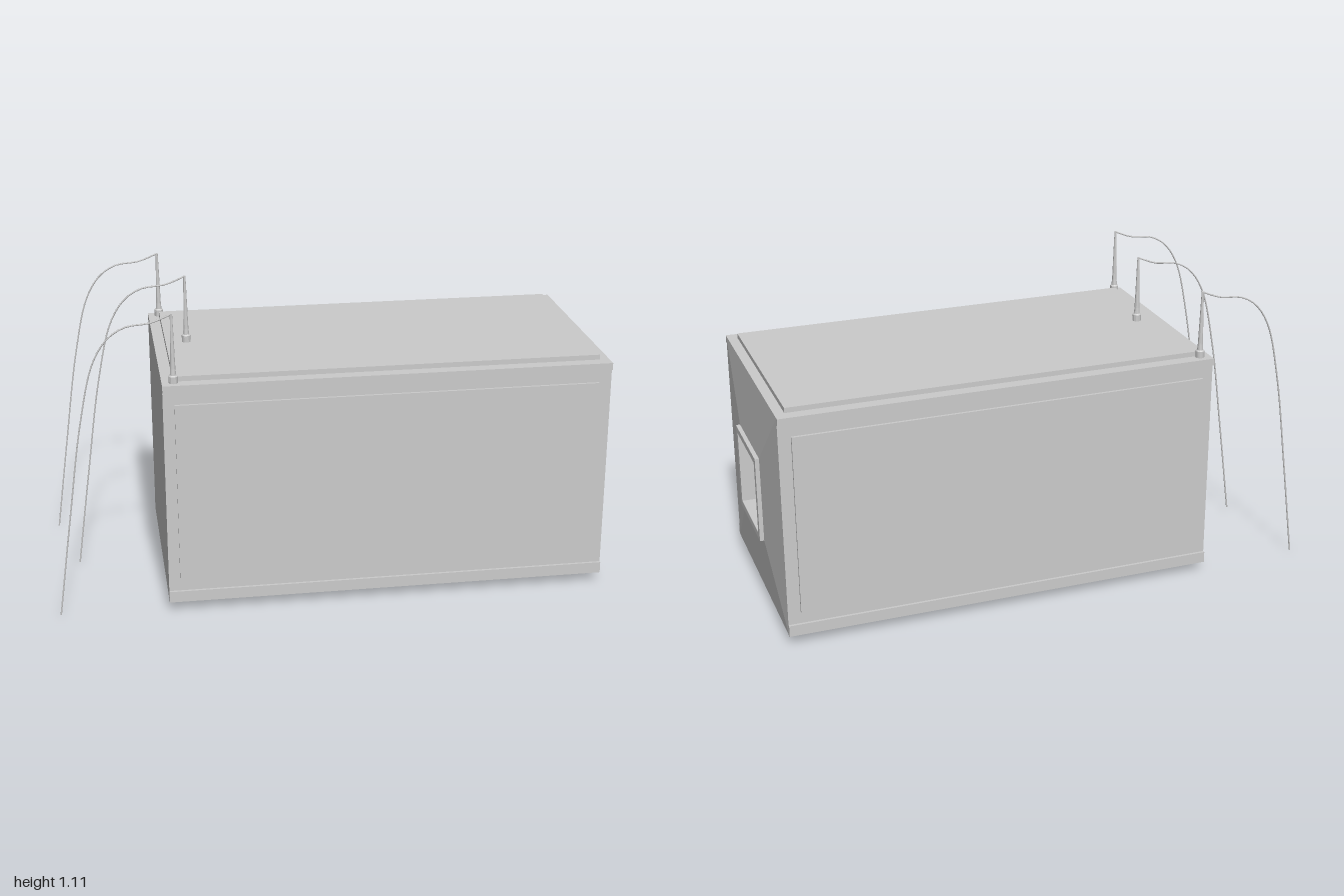
import * as THREE from 'three';

const MID_Y = 0.4425;

export function createModel() {
  const model = new THREE.Group();
  const grey = new THREE.MeshStandardMaterial({ color: 0xcccccc });
  const flat = new THREE.MeshStandardMaterial({ color: 0xcccccc, flatShading: true });

  const add = (name, geometry, material = grey, parent = model) => {
    const mesh = new THREE.Mesh(geometry, material);
    mesh.name = name;
    parent.add(mesh);
    return mesh;
  };
  // Box given by its limits on each axis
  const box = (name, x0, x1, y0, y1, z0, z1) =>
    add(name, new THREE.BoxGeometry(x1 - x0, y1 - y0, z1 - z0))
      .position.set((x0 + x1) / 2, (y0 + y1) / 2, (z0 + z1) / 2);
  // Square loft along x from [half width, x] pairs
  const squareLoft = (name, profile) => {
    const points = profile.map(([half, x]) => new THREE.Vector2(half * Math.SQRT2, x));
    const geometry = new THREE.LatheGeometry(points, 4, Math.PI / 4)
      .rotateZ(-Math.PI / 2).toNonIndexed();
    geometry.computeVertexNormals();
    add(name, geometry, flat).position.y = MID_Y;
  };

  // Body with a shallow pyramid end sloping up to the recessed window
  squareLoft('body', [
    [0, -0.615], [0.4075, -0.615], [0.4075, 0.965], [0.158, 0.982],
    [0.135, 0.982], [0.135, 0.88], [0, 0.88],
  ]);
  // Raised border around the window
  squareLoft('windowFrame', [
    [0.135, 0.97], [0.158, 0.97], [0.158, 0.997], [0.135, 0.997], [0.135, 0.97],
  ]);

  box('roofPlate', -0.575, 0.93, 0.84, 0.868, -0.373, 0.373);

  // Rails and raised panel on both long sides
  for (const s of [1, -1]) {
    const side = (name, x0, x1, y0, y1) =>
      box(name, x0, x1, y0, y1, s > 0 ? 0.39 : -0.417, s > 0 ? 0.417 : -0.39);
    side('topRail', -0.615, 0.965, 0.824, 0.85);
    side('bottomRail', -0.615, 0.965, 0.035, 0.076);
    side('sidePanel', -0.575, 0.92, 0.122, 0.778);
  }

  // Drooping wire, relative to the foot of its mast
  const wirePath = new THREE.CatmullRomCurve3([
    [0, 0.243], [-0.07, 0.216], [-0.155, 0.205], [-0.215, 0.168], [-0.268, 0.085],
    [-0.32, -0.13], [-0.372, -0.48], [-0.423, -0.85],
  ].map(([x, y]) => new THREE.Vector3(x, y, 0)));
  const wireGeometry = new THREE.TubeGeometry(wirePath, 48, 0.003, 6);

  // Masts with socket, collar and tapering rod
  const mastGeometry = new THREE.LatheGeometry([
    [0, 0], [0.016, 0], [0.016, 0.024], [0.011, 0.028], [0.009, 0.05], [0.004, 0.245], [0, 0.245],
  ].map(([r, y]) => new THREE.Vector2(r, y)), 12);
  for (const [x, y, z] of [[-0.575, 0.85, 0.383], [-0.5, 0.868, 0], [-0.575, 0.85, -0.383]]) {
    const antenna = new THREE.Group();
    antenna.name = 'antenna';
    antenna.position.set(x, y, z);
    add('mast', mastGeometry, flat, antenna);
    add('wire', wireGeometry, grey, antenna);
    model.add(antenna);
  }

  return model;
}
